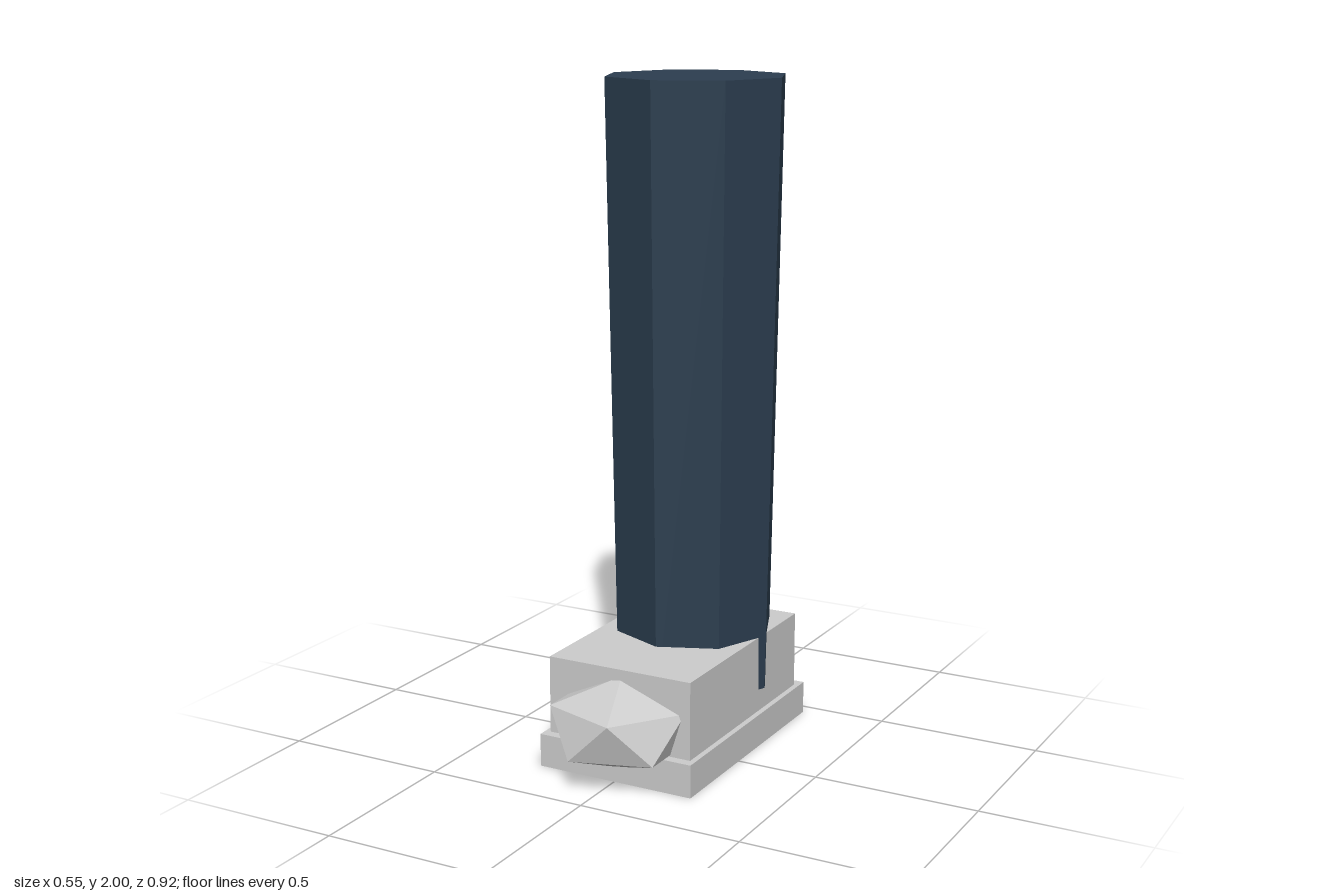
import * as THREE from 'three';
import { ConvexGeometry } from 'three/addons/geometries/ConvexGeometry.js';

export function createModel() {
  const model = new THREE.Group();
  model.name = 'bootLeg';

  const trouser = new THREE.MeshStandardMaterial({ color: 0x2c3e50, flatShading: true });
  trouser.name = 'navy trouser';
  const shoe = new THREE.MeshStandardMaterial({ color: 0xcccccc, flatShading: true });
  shoe.name = 'light grey shoe';

  function add(name, geometry, material, x, y, z) {
    const mesh = new THREE.Mesh(geometry, material);
    mesh.name = name;
    mesh.position.set(x, y, z);
    model.add(mesh);
  }

  // Tapered octagonal leg, sunk into the shoe
  add('leg', new THREE.CylinderGeometry(0.274, 0.242, 1.832, 8), trouser, 0, 1.084, -0.187);

  // Shoe body on a slightly wider sole
  add('shoeBody', new THREE.BoxGeometry(0.466, 0.235, 0.7), shoe, 0, 0.2175, -0.07);
  add('sole', new THREE.BoxGeometry(0.5, 0.1, 0.765), shoe, 0, 0.05, -0.0725);

  // Faceted toe cap: a flattened icosahedron with two staggered rings of five
  const radius = 0.233, flat = 0.605;
  const ring = radius * 2 / Math.sqrt(5);
  const ringY = radius * flat / Math.sqrt(5);
  const points = [
    new THREE.Vector3(0, radius * flat, 0),
    new THREE.Vector3(0, -radius * flat, 0),
  ];
  for (let i = 0; i < 5; i++) {
    for (const side of [1, -1]) {
      const angle = side * THREE.MathUtils.degToRad(18 + i * 72);
      points.push(new THREE.Vector3(ring * Math.sin(angle), side * ringY, ring * Math.cos(angle)));
    }
  }
  add('toeCap', new ConvexGeometry(points), shoe, 0, 0.168, 0.263);

  return model;
}
